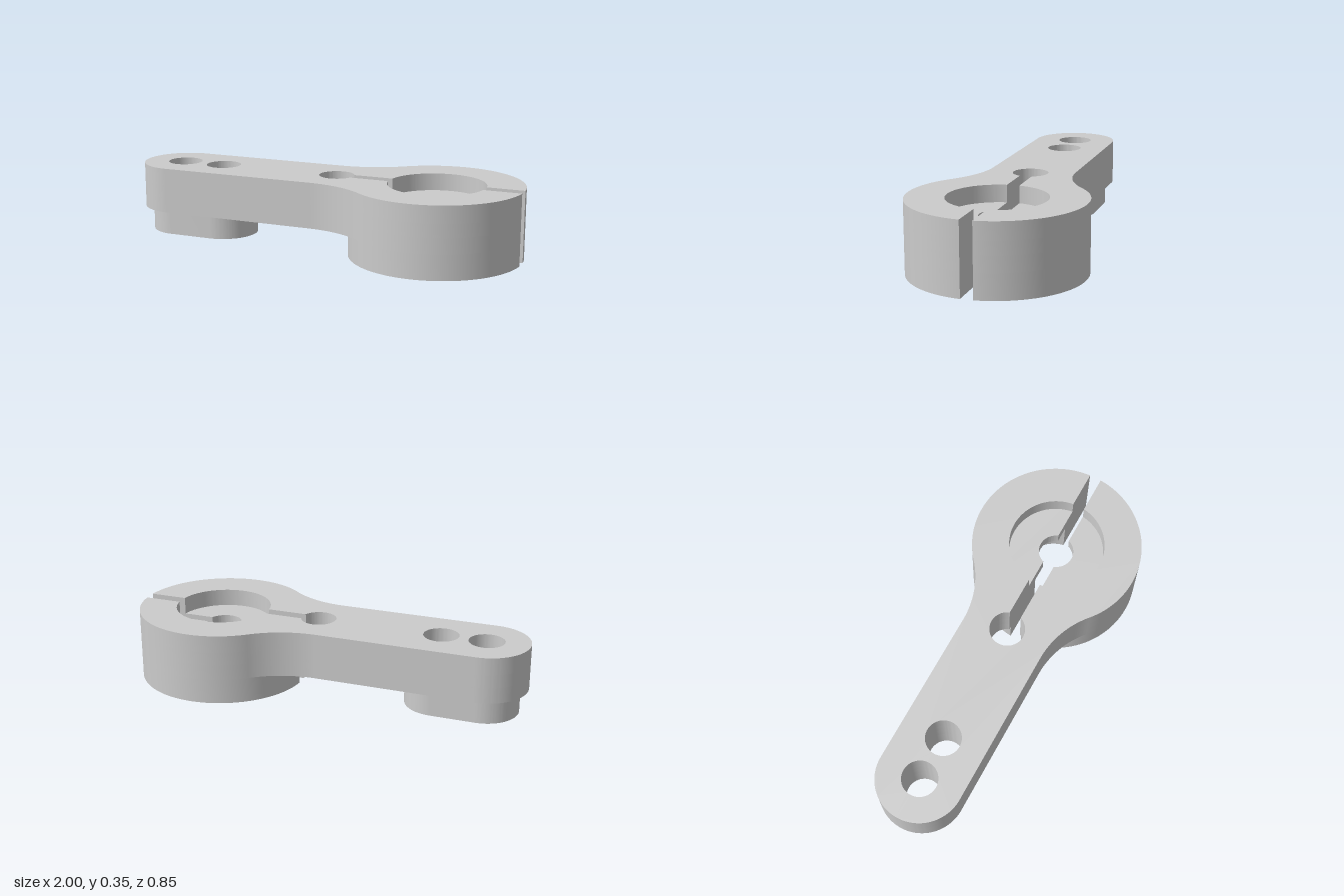
import * as THREE from 'three';
import { toCreasedNormals } from 'three/addons/utils/BufferGeometryUtils.js';

const HUB_X = 0.577, HUB_R = 0.423;          // clamp hub
const ARM_W = 0.212, TIP_X = -0.788;         // half width and tip centre of the arm
const HOLE_R = 0.087, SLOT = 0.03;           // small holes, half width of the clamp slot
const RELIEF_X = 0.06;                       // round end of the slot
const TIP_HOLES = [-0.79, -0.567];
const ARM_Y = 0.123, SPLINE_Y = 0.2, FLOOR_Y = 0.265, TOP_Y = 0.35;
const SPLINE_R = 0.166, RECESS_R = 0.238;

const material = new THREE.MeshStandardMaterial({ color: 0xcccccc });
const slotAngle = (r) => Math.asin(SLOT / r);

// Extrudes a plan-view shape upwards from y0 to y1
function slab(name, shape, y0, y1) {
  let geo = new THREE.ExtrudeGeometry(shape, { depth: y1 - y0, bevelEnabled: false, curveSegments: 40 });
  geo.rotateX(-Math.PI / 2);
  geo.translate(0, y0, 0);
  geo = toCreasedNormals(geo, 0.5);
  const mesh = new THREE.Mesh(geo, material);
  mesh.name = name;
  return mesh;
}

function addHoles(shape, xs) {
  for (const x of xs) {
    const hole = new THREE.Path();
    hole.absarc(x, 0, HOLE_R, 0, Math.PI * 2, true);
    shape.holes.push(hole);
  }
}

// Arm and hub outline; the slot joins the outside to the bore and the relief hole
function armShape(boreR) {
  const s = new THREE.Shape();
  // Fillet radius that is tangent to both the arm edge and the hub
  const R = (HUB_X ** 2 + ARM_W ** 2 - HUB_R ** 2) / (2 * (HUB_R - ARM_W));
  const fy = ARM_W + R;
  const t = Math.atan2(fy, HUB_X);
  const a = slotAngle(HUB_R), b = slotAngle(boreR), c = slotAngle(HOLE_R);
  s.absarc(HUB_X, 0, HUB_R, a, Math.PI - t, false);
  s.absarc(0, fy, R, -t, -Math.PI / 2, true);
  s.absarc(TIP_X, 0, ARM_W, Math.PI / 2, Math.PI * 1.5, false);
  s.absarc(0, -fy, R, Math.PI / 2, t, true);
  s.absarc(HUB_X, 0, HUB_R, Math.PI + t, Math.PI * 2 - a, false);
  s.absarc(HUB_X, 0, boreR, -b, -Math.PI + b, true);
  s.absarc(RELIEF_X, 0, HOLE_R, -c, c - Math.PI * 2, true);
  s.absarc(HUB_X, 0, boreR, Math.PI - b, b, true);
  s.closePath();
  addHoles(s, TIP_HOLES);
  return s;
}

// Half of the lower hub ring, on one side of the slot
function halfRing(start) {
  const s = new THREE.Shape();
  const a = slotAngle(HUB_R), b = slotAngle(SPLINE_R);
  s.absarc(HUB_X, 0, HUB_R, start + a, start + Math.PI - a, false);
  s.absarc(HUB_X, 0, SPLINE_R, start + Math.PI - b, start + b, true);
  s.closePath();
  return s;
}

// Rounded pad around the two tip holes
function padShape() {
  const s = new THREE.Shape();
  const r = 0.17;
  s.absarc(TIP_HOLES[1], 0, r, -Math.PI / 2, Math.PI / 2, false);
  s.absarc(TIP_HOLES[0], 0, r, Math.PI / 2, Math.PI * 1.5, false);
  s.closePath();
  addHoles(s, TIP_HOLES);
  return s;
}

export function createModel() {
  const model = new THREE.Group();
  model.name = 'clampArm';
  model.add(
    // Lower hub and tip pad
    slab('hubLowerBack', halfRing(0), 0, ARM_Y),
    slab('hubLowerFront', halfRing(Math.PI), 0, ARM_Y),
    slab('tipPad', padShape(), 0, ARM_Y),
    // Arm in three layers: wide shaft bore, screw hole web, screw head recess
    slab('armShaftBore', armShape(SPLINE_R), ARM_Y, SPLINE_Y),
    slab('armScrewWeb', armShape(HOLE_R), SPLINE_Y, FLOOR_Y),
    slab('armScrewRecess', armShape(RECESS_R), FLOOR_Y, TOP_Y),
  );
  return model;
}
